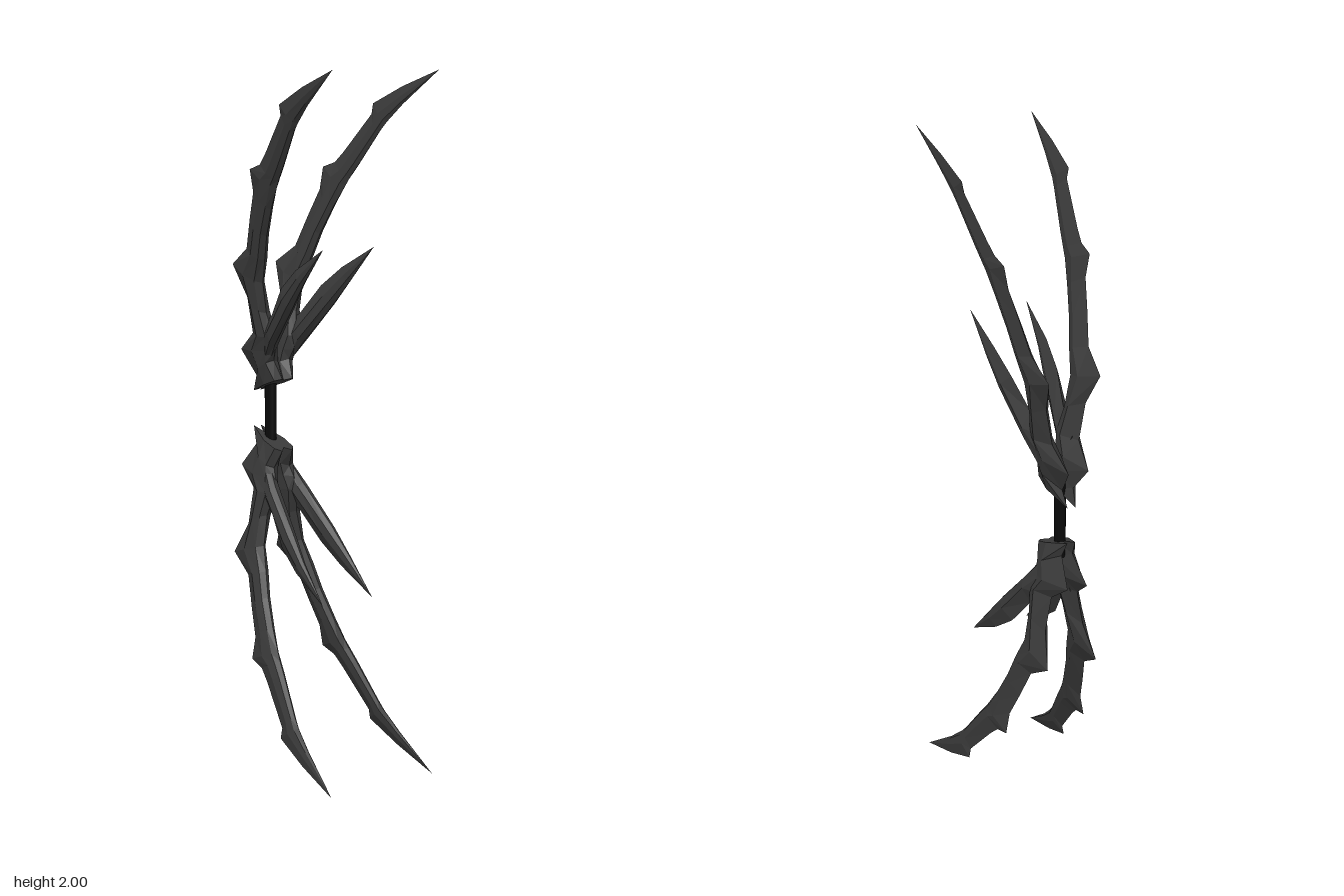
import * as THREE from 'three';

const horn = new THREE.MeshStandardMaterial({ color: 0x3a3a3a });
horn.name = 'charcoalHorn';
horn.flatShading = true;
const black = new THREE.MeshStandardMaterial({ color: 0x0a0a0a });
black.name = 'blackGrip';

// Blades lean outwards from the grip as they rise
const lean = (y) => Math.max(0.012, 0.03 + (y - 1.175) * 0.179);

// Stations: outer edge x, y, inner edge x, y, half thickness
const MAIN = [
  [-0.30, 1.053, -0.14, 1.107, 0.022],
  [-0.275, 1.10, -0.17, 1.16, 0.03],
  [-0.34, 1.175, -0.155, 1.19, 0.03],
  [-0.26, 1.233, -0.15, 1.23, 0.029],
  [-0.26, 1.34, -0.17, 1.30, 0.026],
  [-0.312, 1.434, -0.164, 1.39, 0.024],
  [-0.222, 1.487, -0.135, 1.46, 0.022],
  [-0.18, 1.577, -0.106, 1.53, 0.02],
  [-0.14, 1.655, -0.06, 1.61, 0.018],
  [-0.14, 1.72, -0.016, 1.672, 0.017],
  [-0.085, 1.735, 0.0, 1.695, 0.016],
  [-0.05, 1.765, 0.03, 1.73, 0.015],
  [0.058, 1.875, 0.11, 1.83, 0.012],
  [0.058, 1.905, 0.135, 1.855, 0.012],
  [0.18, 1.953, 0.196, 1.905, 0.008],
];
const MAIN_TIP = [0.335, 2.0, 0.178];

const PRONG = [
  [-0.24, 1.24, -0.20, 1.13, 0.018],
  [-0.153, 1.296, -0.138, 1.21, 0.024],
  [-0.085, 1.381, -0.03, 1.325, 0.02],
  [0.0, 1.44, 0.037, 1.40, 0.012],
];
// The rear prong splays wider than the front one
const PRONG_Z = { 1: [0.03, 0.045, 0.058, 0.066, 0.07], '-1': [0.035, 0.055, 0.082, 0.095, 0.105] };

// Six-sided cross-section: fraction from outer to inner edge, share of thickness
const SECTION = [[0, 0], [0.55, 1], [0.88, 0.75], [1, 0], [0.88, -0.75], [0.55, -1]];

// Lofts the stations to a point; sy and sz mirror about the grip and the centre plane
function blade(name, stations, tip, sy, sz, centres) {
  const pos = [];
  const index = [];
  const n = SECTION.length;
  const add = (x, y, z) => pos.push(x, sy > 0 ? y : 2 - y, z * sz);
  const tri = (a, b, c) => (sy * sz > 0 ? index.push(a, b, c) : index.push(a, c, b));

  stations.forEach(([ox, oy, ix, iy, t], s) => {
    for (const [f, h] of SECTION) {
      const y = oy + (iy - oy) * f;
      add(ox + (ix - ox) * f, y, (centres ? centres[s] : lean(y)) + h * t);
    }
  });
  const last = (stations.length - 1) * n;
  const tipId = stations.length * n;
  add(...tip);

  for (let k = 0; k < n; k++) {
    const k2 = (k + 1) % n;
    for (let r = 0; r < last; r += n) {
      tri(r + k, r + k2, r + n + k2);
      tri(r + k, r + n + k2, r + n + k);
    }
    tri(last + k, last + k2, tipId);
    if (k > 0 && k < n - 1) tri(0, k + 1, k); // root cap
  }

  const indexed = new THREE.BufferGeometry();
  indexed.setAttribute('position', new THREE.Float32BufferAttribute(pos, 3));
  indexed.setIndex(index);
  const geometry = indexed.toNonIndexed();
  geometry.computeVertexNormals();
  const mesh = new THREE.Mesh(geometry, horn);
  mesh.name = name;
  return mesh;
}

export function createModel() {
  const model = new THREE.Group();
  model.name = 'thornedBow';

  // Four curved blades, each with a side prong
  for (const sy of [1, -1]) {
    const limb = new THREE.Group();
    limb.name = sy > 0 ? 'upperLimb' : 'lowerLimb';
    for (const sz of [1, -1]) {
      const side = sz > 0 ? 'front' : 'back';
      const zs = PRONG_Z[sz];
      limb.add(blade(side + 'Blade', MAIN, MAIN_TIP, sy, sz));
      limb.add(blade(side + 'Prong', PRONG, [0.14, 1.508, zs[4]], sy, sz, zs));
    }
    model.add(limb);
  }

  // Slim oval grip joining the limbs
  const grip = new THREE.Mesh(new THREE.CylinderGeometry(0.0235, 0.0235, 0.24, 12), black);
  grip.name = 'grip';
  grip.scale.z = 0.62;
  grip.position.set(-0.228, 1, 0);
  model.add(grip);

  return model;
}
